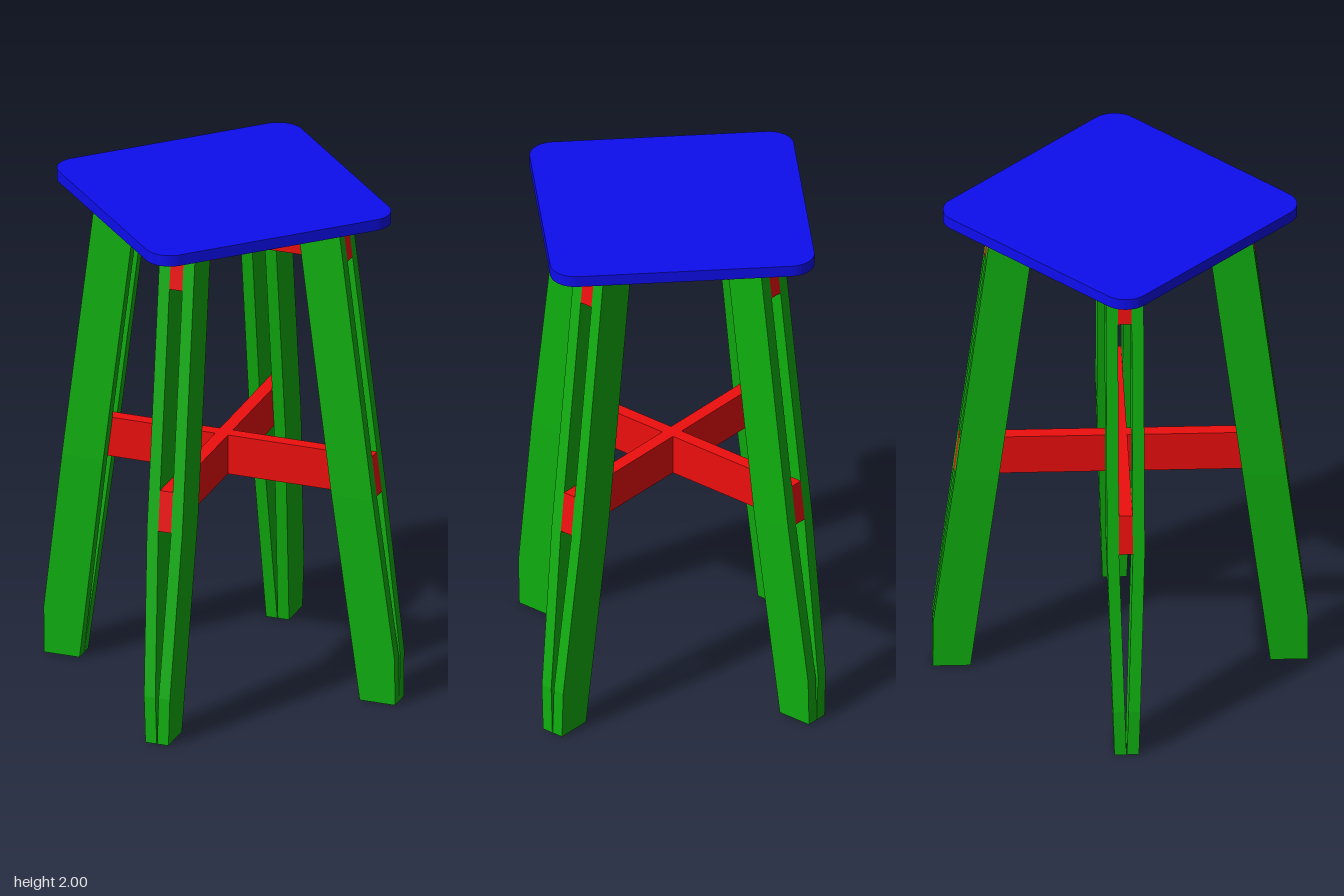
import * as THREE from 'three';

const SEAT_Y = 1.955, GAP = 0.026, BOARD = 0.0455, BEND_Y = 0.84;
const blue = new THREE.MeshStandardMaterial({ color: 0x0d0dee });
const green = new THREE.MeshStandardMaterial({ color: 0x10b010 });
const red = new THREE.MeshStandardMaterial({ color: 0xee0e0e });

// radial distance of the splayed leg's outer and inner edges at height y
const outerEdge = (y) => Math.min(0.71, 0.7337 - 0.1247 * y);
const innerEdge = (y) => 0.567 - 0.1253 * y;

function mesh(name, geometry, material) {
  const m = new THREE.Mesh(geometry, material);
  m.name = name;
  return m;
}

// one leg board, lofted through four-cornered sections; side is +1 or -1
function boardGeometry(side) {
  const rings = [0, 0.19, BEND_Y, SEAT_Y].map((y) => {
    const near = 0.001 + (GAP - 0.001) * Math.min(1, y / BEND_Y);
    const z0 = side > 0 ? near : -near - BOARD;
    const z1 = z0 + BOARD;
    const a = innerEdge(y), b = outerEdge(y);
    return [[a, y, z0], [a, y, z1], [b, y, z1], [b, y, z0]];
  });
  const pos = [];
  const quad = (a, b, c, d) => pos.push(...a, ...b, ...c, ...a, ...c, ...d);
  for (let i = 0; i < rings.length - 1; i++) {
    const lo = rings[i], hi = rings[i + 1];
    for (let k = 0; k < 4; k++) {
      const n = (k + 1) % 4;
      quad(lo[k], lo[n], hi[n], hi[k]);
    }
  }
  const bottom = rings[0], top = rings[rings.length - 1];
  quad(bottom[3], bottom[2], bottom[1], bottom[0]);
  quad(...top);
  const g = new THREE.BufferGeometry();
  g.setAttribute('position', new THREE.Float32BufferAttribute(pos, 3));
  g.computeVertexNormals();
  return g;
}

// cross rail whose slanted ends sit flush with the outer leg edges
function railGeometry(y0, y1) {
  const s = new THREE.Shape([
    new THREE.Vector2(-outerEdge(y0), y0),
    new THREE.Vector2(outerEdge(y0), y0),
    new THREE.Vector2(outerEdge(y1), y1),
    new THREE.Vector2(-outerEdge(y1), y1),
  ]);
  return new THREE.ExtrudeGeometry(s, { depth: 2 * GAP, bevelEnabled: false }).translate(0, 0, -GAP);
}

// diamond-set square seat with rounded corners
function seatGeometry() {
  const r = 0.096, c = 0.574, s = new THREE.Shape();
  for (let k = 0; k < 4; k++) {
    const a = (k * Math.PI) / 2;
    s.absarc(c * Math.cos(a), c * Math.sin(a), r, a - Math.PI / 4, a + Math.PI / 4, false);
  }
  s.closePath();
  const g = new THREE.ExtrudeGeometry(s, { depth: 2 - SEAT_Y, bevelEnabled: false, curveSegments: 10 });
  return g.rotateX(-Math.PI / 2).translate(0, SEAT_Y, 0);
}

export function createModel() {
  const stool = new THREE.Group();
  stool.name = 'stool';
  stool.add(mesh('seat', seatGeometry(), blue));

  // four legs, each a pair of boards pinched together at the foot
  const boards = [boardGeometry(1), boardGeometry(-1)];
  ['leftLeg', 'backLeg', 'rightLeg', 'frontLeg'].forEach((name, k) => {
    const leg = new THREE.Group();
    leg.name = name;
    leg.add(mesh('boardA', boards[0], green), mesh('boardB', boards[1], green));
    leg.rotation.y = (k * Math.PI) / 2;
    stool.add(leg);
  });

  // two crosses of rails clamped between the leg boards
  for (const [name, y0, y1] of [['lowerRail', BEND_Y, 1], ['upperRail', 1.79, SEAT_Y]]) {
    const g = railGeometry(y0, y1);
    for (const turn of [0, 1]) {
      const rail = mesh(name + (turn ? 'Lengthwise' : 'Crosswise'), g, red);
      rail.rotation.y = (turn * Math.PI) / 2;
      stool.add(rail);
    }
  }
  return stool;
}
